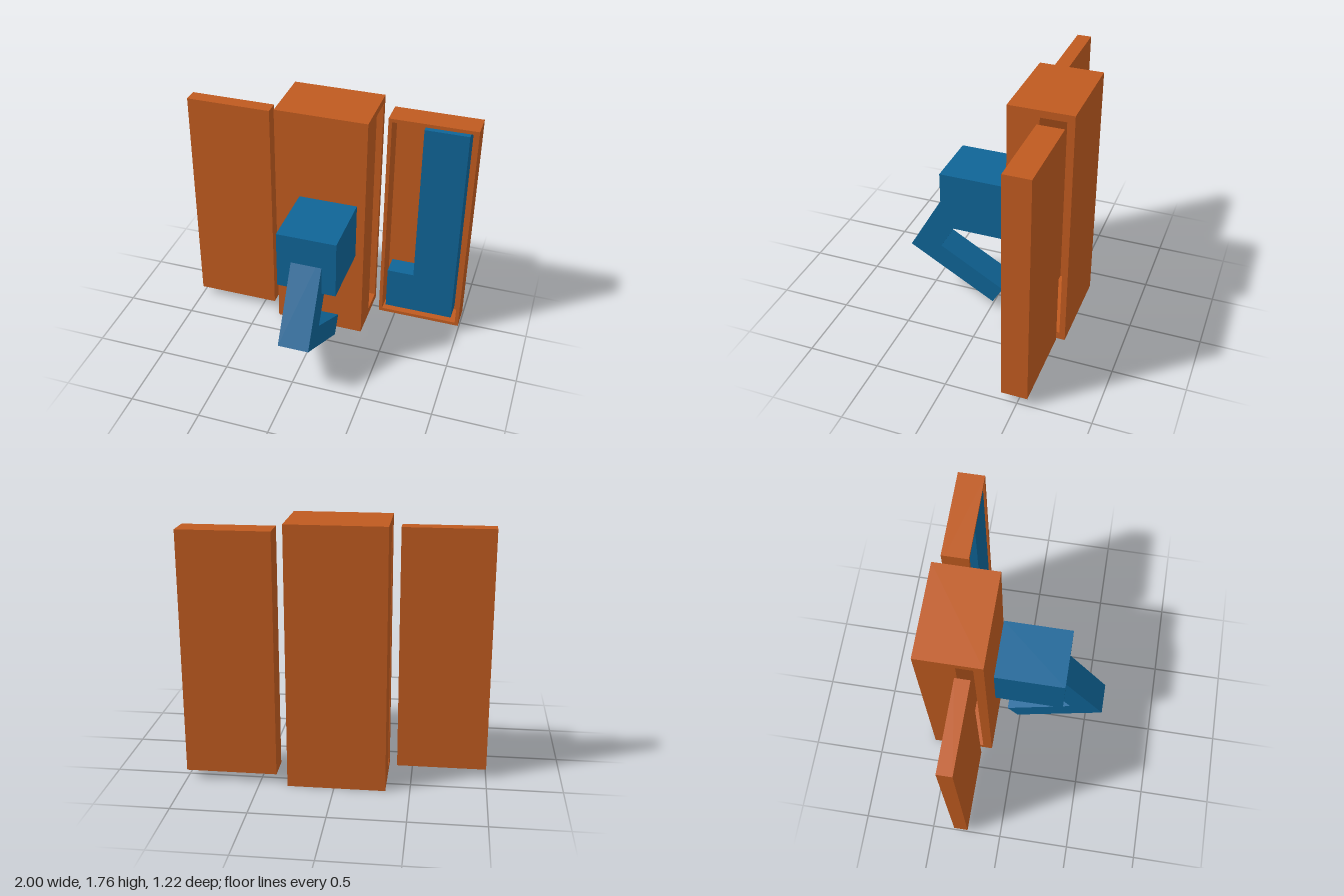
import * as THREE from 'three';

const orange = new THREE.MeshStandardMaterial({ color: 0xbf5a1f });
const blue = new THREE.MeshStandardMaterial({ color: 0x0f6496 });

function shapeOf(points) {
  return new THREE.Shape(points.map(([x, y]) => new THREE.Vector2(x, y)));
}

function rectangle(x0, x1, y0, y1) {
  return [[x0, y0], [x1, y0], [x1, y1], [x0, y1]];
}

function extrude(shape, depth) {
  return new THREE.ExtrudeGeometry(shape, { depth, bevelEnabled: false });
}

function part(name, geometry, material) {
  const mesh = new THREE.Mesh(geometry, material);
  mesh.name = name;
  return mesh;
}

// Box given by its limits on each axis
function box(name, [x0, x1], [y0, y1], [z0, z1], material) {
  const g = new THREE.BoxGeometry(x1 - x0, y1 - y0, z1 - z0);
  g.translate((x0 + x1) / 2, (y0 + y1) / 2, (z0 + z1) / 2);
  return part(name, g, material);
}

export function createModel() {
  const model = new THREE.Group();

  // Cabinet: a plan outline with one deep slot per side, closed by end caps
  const cabinet = new THREE.Group();
  cabinet.name = 'cabinet';
  const x0 = -0.34, x1 = 0.31, front = -0.17, back = -0.61;
  const slotBottom = 0.055, slotTop = 1.71, height = 1.76;
  const plan = [
    [x0, front], [x1, front],
    [x1, -0.385], [-0.31, -0.385], [-0.31, -0.57], [x1, -0.57],
    [x1, back], [x0, back],
    [x0, -0.345], [0.28, -0.345], [0.28, -0.235], [x0, -0.235],
  ].map(([x, z]) => [x, -z]);
  const core = extrude(shapeOf(plan), slotTop - slotBottom);
  core.rotateX(-Math.PI / 2).translate(0, slotBottom, 0);
  cabinet.add(
    part('slottedBody', core, orange),
    box('cabinetBottom', [x0, x1], [0, slotBottom], [back, front], orange),
    box('cabinetTop', [x0, x1], [slotTop, height], [back, front], orange),
  );
  model.add(cabinet);

  // Flat sliding panel on the right
  model.add(box('slidingPanel', [-1, -0.4], [0.06, 1.705], [-0.34, -0.24], orange));

  // Shallow tray on the left: rim with an opening, plus a back plate
  const tray = new THREE.Group();
  tray.name = 'tray';
  const rim = shapeOf(rectangle(0.39, 1, 0.06, 1.705));
  rim.holes.push(shapeOf(rectangle(0.415, 0.975, 0.085, 1.68)));
  tray.add(
    part('trayRim', extrude(rim, 0.155).translate(0, 0, -0.545), orange),
    box('trayBack', [0.39, 1], [0.06, 1.705], [-0.57, -0.545], orange),
  );
  model.add(tray);

  // L-shaped insert lying in the tray
  const insert = shapeOf([
    [0.44, 0.12], [0.94, 0.12], [0.94, 1.655],
    [0.635, 1.655], [0.635, 0.445], [0.44, 0.445],
  ]);
  model.add(part('insert', extrude(insert, 0.148).translate(0, 0, -0.545), blue));

  // Block in front of the cabinet with its bent arm
  model.add(box('block', [-0.16, 0.255], [0.705, 1.125], [-0.155, 0.325], blue));
  const armSide = shapeOf([
    [0.61, 0.42], [0.26, 1.03], [0.1, 0.94],
    [0.375, 0.46], [-0.09, 0.19], [-0.015, 0.06],
  ]);
  const arm = extrude(armSide, 0.215).rotateY(-Math.PI / 2).translate(0.155, 0, 0);
  model.add(part('bentArm', arm, blue));

  return model;
}
